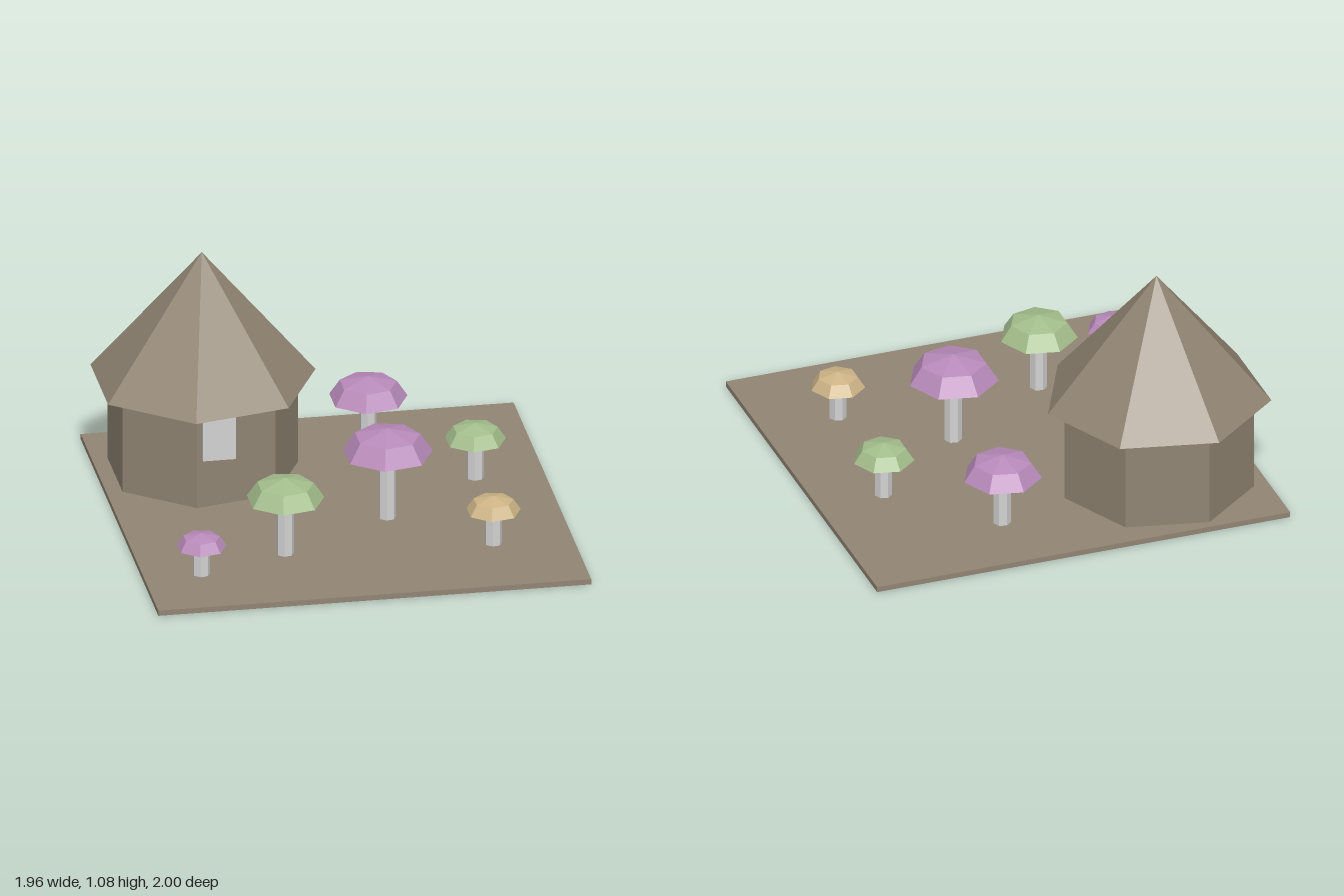
import * as THREE from 'three';

const SIDES = 7;
const mat = (name, color) => {
  const m = new THREE.MeshStandardMaterial({ color, flatShading: true });
  m.name = name;
  return m;
};

export function createModel() {
  const earth = mat('earth brown', 0x918573);
  const pale = mat('pale grey', 0xd2d2d2);
  const purple = mat('purple', 0xb88aba);
  const green = mat('green', 0xa3bd8b);
  const gold = mat('gold', 0xcdb486);

  const model = new THREE.Group();
  model.name = 'mushroomGarden';

  const add = (parent, name, geometry, material, x, y, z) => {
    const mesh = new THREE.Mesh(geometry, material);
    mesh.name = name;
    mesh.position.set(x, y, z);
    parent.add(mesh);
    return mesh;
  };

  // Seven-sided frustum standing on its base, with one corner towards +x
  const prism = (top, bottom, height, open = false) =>
    new THREE.CylinderGeometry(top, bottom, height, SIDES, 1, open, Math.PI / 2)
      .translate(0, height / 2, 0);

  // Ground slab
  add(model, 'ground', new THREE.BoxGeometry(1.96, 0.025, 1.965), earth, 0, 0.0125, 0.0175);

  // Hut
  const hut = new THREE.Group();
  hut.name = 'hut';
  hut.position.set(-0.515, 0, -0.5);
  model.add(hut);
  add(hut, 'walls', prism(0.436, 0.436, 0.45), earth, 0, 0.02, 0);
  add(hut, 'roof', prism(0, 0.515, 0.61), earth, 0, 0.47, 0);
  add(hut, 'window', new THREE.BoxGeometry(0.15, 0.205, 0.1), pale, 0, 0.3645, 0.4);

  // Mushrooms: x, z, cap radius, cap base height, colour
  const mushrooms = [
    [0.256, -0.605, 0.179, 0.262, purple],
    [0.205, 0.17, 0.205, 0.336, purple],
    [0.667, -0.19, 0.139, 0.207, green],
    [-0.313, 0.48, 0.177, 0.287, green],
    [0.62, 0.533, 0.124, 0.182, gold],
    [-0.72, 0.635, 0.114, 0.156, purple],
  ];
  mushrooms.forEach(([x, z, r, base, colour], i) => {
    const mushroom = new THREE.Group();
    mushroom.name = `mushroom${i + 1}`;
    mushroom.position.set(x, 0, z);
    model.add(mushroom);
    add(mushroom, 'stem', prism(0.0395, 0.0395, base), pale, 0, 0.01, 0);
    add(mushroom, 'capRim', prism(0.73 * r, r, 0.41 * r), colour, 0, base, 0);
    add(mushroom, 'capTop', prism(0, 0.73 * r, 0.19 * r, true), colour, 0, base + 0.41 * r, 0);
  });

  return model;
}
